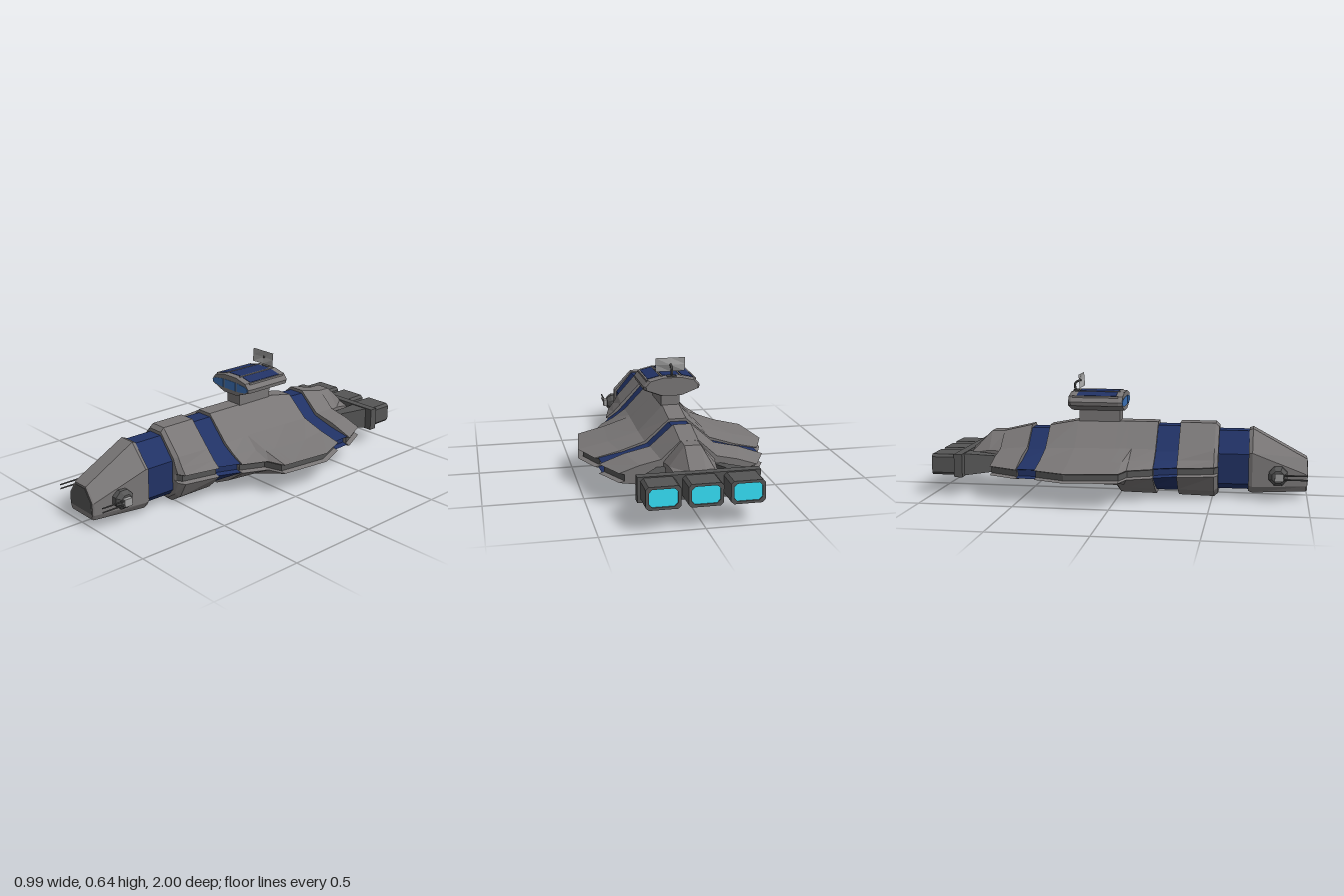
import * as THREE from 'three';

const mat = (color) => new THREE.MeshStandardMaterial({ color, flatShading: true, side: THREE.DoubleSide });
const grey = mat(0x797676), dark = mat(0x555555), pale = mat(0xa0a0a0);
const navy = mat(0x213265), glass = mat(0x3c72b8), glow = mat(0x35e0f8);

// Closed ring of [x, y] points from its +x half, listed top to bottom
const mirror = (half) => [...half, ...half.map(([x, y]) => [-x, y]).reverse()];
const scaled = (ring, s, cy) => ring.map(([x, y]) => [x * s, cy + (y - cy) * s]);

// Skin a list of [z, ring] sections, front to back, with capped ends
function loft(sections) {
  const pos = [];
  const n = sections[0][1].length;
  const at = (i, j) => [...sections[i][1][j % n], sections[i][0]];
  const centre = (i) => {
    const c = [0, 0, sections[i][0]];
    for (const [x, y] of sections[i][1]) { c[0] += x / n; c[1] += y / n; }
    return c;
  };
  const last = sections.length - 1;
  for (let j = 0; j < n; j++) {
    for (let i = 0; i < last; i++) {
      const a = at(i, j), b = at(i, j + 1), c = at(i + 1, j), d = at(i + 1, j + 1);
      pos.push(...a, ...b, ...c, ...b, ...d, ...c);
    }
    pos.push(...centre(0), ...at(0, j + 1), ...at(0, j));
    pos.push(...centre(last), ...at(last, j), ...at(last, j + 1));
  }
  const g = new THREE.BufferGeometry();
  g.setAttribute('position', new THREE.Float32BufferAttribute(pos, 3));
  g.computeVertexNormals();
  return g;
}

function add(parent, name, geometry, material, x = 0, y = 0, z = 0) {
  const m = new THREE.Mesh(geometry, material);
  m.name = name;
  m.position.set(x, y, z);
  parent.add(m);
  return m;
}
const box = (w, h, d) => new THREE.BoxGeometry(w, h, d);
const polygon = (pts) => new THREE.Shape(pts.map(([x, y]) => new THREE.Vector2(x, y)));
const slab = (shape, depth) => new THREE.ExtrudeGeometry(shape, { depth, bevelEnabled: false });

// Winged hull section: ridge, shoulder, wing edge with a groove, keel
const GROOVE = 0.03;
function hull(z, top, sx, sy, w, lx, ly, bw, bot, raise = -0.006) {
  return [z, mirror([
    [0.045, top], [sx, sy], [(sx + w) / 2, (sy + 0.178) / 2 + raise], [w, 0.178],
    [w - GROOVE, 0.17], [w - GROOVE, 0.138], [w, 0.13], [lx, ly], [bw, bot],
  ])];
}

// Grey winged hull with a dark strip lining the groove of its edge
function addWinged(ship, name, sections) {
  add(ship, name, loft(sections), grey);
  const strip = sections.map(([z, ring], i) => {
    const x = ring[3][0] - GROOVE + 0.003;
    const inset = i === 0 ? -0.002 : i === sections.length - 1 ? 0.002 : 0;
    return [z + inset, mirror([[x, 0.17], [x, 0.138]])];
  });
  add(ship, name + 'EdgeStrip', loft(strip), dark);
}

// Plain section of the nose and neck
const plain = (z, top, tw, w, sy, ly, bw, bot) => [z, mirror([[tw, top], [w, sy], [w, ly], [bw, bot]])];

function buildHull(ship) {
  const tip = plain(0.99, 0.212, 0.047, 0.102, 0.135, 0.07, 0.09, 0.042);
  add(ship, 'nose', loft([
    [0.998, scaled(tip[1], 0.94, 0.13)], tip,
    plain(0.71, 0.365, 0.045, 0.152, 0.25, 0.07, 0.13, 0.035),
    plain(0.69, 0.358, 0.043, 0.145, 0.245, 0.075, 0.125, 0.042),
  ]), grey);
  const panel = [[0.04, 0.197], [0.09, 0.132], [0.09, 0.075], [-0.09, 0.075], [-0.09, 0.132], [-0.04, 0.197]];
  add(ship, 'nosePanel', slab(polygon(panel), 0.004), dark, 0, 0, 0.996);
  add(ship, 'neckBand', loft([
    plain(0.7, 0.352, 0.042, 0.135, 0.24, 0.08, 0.11, 0.05),
    plain(0.52, 0.352, 0.042, 0.135, 0.24, 0.08, 0.11, 0.05),
  ]), navy);
  addWinged(ship, 'foreHull', [
    hull(0.53, 0.37, 0.145, 0.255, 0.18, 0.15, 0.06, 0.09, 0.02),
    hull(0.51, 0.39, 0.16, 0.262, 0.217, 0.17, 0.045, 0.1, 0.002),
    hull(0.32, 0.39, 0.17, 0.26, 0.26, 0.18, 0.05, 0.1, 0.006),
  ]);
  add(ship, 'foreBand', loft([
    hull(0.33, 0.372, 0.155, 0.25, 0.24, 0.17, 0.065, 0.1, 0.03),
    hull(0.19, 0.372, 0.16, 0.248, 0.295, 0.18, 0.065, 0.1, 0.03),
  ]), navy);
  addWinged(ship, 'mainHull', [
    hull(0.2, 0.39, 0.17, 0.26, 0.305, 0.19, 0.05, 0.1, 0.008),
    hull(0.07, 0.39, 0.17, 0.26, 0.362, 0.21, 0.06, 0.1, 0.01),
    hull(0.04, 0.39, 0.17, 0.26, 0.458, 0.24, 0.08, 0.1, 0.01),
    hull(0.005, 0.39, 0.172, 0.26, 0.463, 0.25, 0.085, 0.1, 0.012),
    hull(-0.02, 0.39, 0.172, 0.26, 0.466, 0.255, 0.088, 0.1, 0.045),
    hull(-0.24, 0.39, 0.175, 0.257, 0.493, 0.28, 0.1, 0.1, 0.05),
    hull(-0.4, 0.36, 0.17, 0.25, 0.428, 0.26, 0.1, 0.1, 0.066),
  ]);
  add(ship, 'aftBand', loft([
    hull(-0.39, 0.346, 0.16, 0.24, 0.41, 0.25, 0.108, 0.095, 0.08),
    hull(-0.51, 0.342, 0.155, 0.238, 0.405, 0.25, 0.108, 0.095, 0.083),
  ]), navy);
  addWinged(ship, 'aftHull', [
    hull(-0.5, 0.36, 0.165, 0.255, 0.423, 0.26, 0.1, 0.1, 0.07, 0.009),
    hull(-0.66, 0.322, 0.14, 0.235, 0.347, 0.22, 0.11, 0.09, 0.092, 0.006),
  ]);
  add(ship, 'tail', loft([
    plain(-0.65, 0.322, 0.04, 0.13, 0.22, 0.12, 0.1, 0.1),
    plain(-0.73, 0.32, 0.04, 0.115, 0.22, 0.12, 0.09, 0.102),
    plain(-0.84, 0.222, 0.04, 0.1, 0.2, 0.12, 0.08, 0.105),
  ]), grey);
}

function buildBridge(ship) {
  const bridge = new THREE.Group();
  bridge.name = 'bridge';
  ship.add(bridge);
  add(bridge, 'bridgePylon', box(0.098, 0.09, 0.225), grey, 0, 0.415, -0.122);
  const ring = mirror([[0.05, 0.55], [0.125, 0.532], [0.15, 0.502], [0.146, 0.482], [0.053, 0.447]]);
  add(bridge, 'bridgeCabin', loft([
    [0.015, scaled(ring, 0.96, 0.497)], [-0.005, ring], [-0.265, ring], [-0.28, scaled(ring, 0.92, 0.497)],
  ]), grey);
  // Windows and roof panels
  add(bridge, 'middleWindow', slab(polygon([[-0.044, 0.472], [0.044, 0.472], [0.044, 0.521], [-0.044, 0.521]]), 0.003), glass, 0, 0, 0.014);
  add(bridge, 'middleRoofPanel', box(0.09, 0.006, 0.215), navy, 0, 0.549, -0.128);
  for (const s of [-1, 1]) {
    const pane = [[0.055, 0.472], [0.118, 0.479], [0.139, 0.491], [0.139, 0.502], [0.118, 0.513], [0.055, 0.521]];
    add(bridge, 'sideWindow', slab(polygon(pane), 0.003), glass, 0, 0, 0.014).scale.x = s;
    const panel = add(bridge, 'sideRoofPanel', box(0.064, 0.006, 0.215), navy, s * 0.09, 0.5395, -0.128);
    panel.rotation.z = -s * Math.atan(0.018 / 0.075);
    for (const x of [0.051, 0.128]) add(bridge, 'roofRib', box(0.008, 0.01, 0.25), grey, s * x, x < 0.1 ? 0.548 : 0.529, -0.133);
  }
  // Antenna: a shallow dished plate on a bent mast
  const plate = new THREE.PlaneGeometry(0.156, 0.074, 2, 2);
  plate.attributes.position.setZ(4, -0.01);
  plate.computeVertexNormals();
  add(bridge, 'antennaPlate', plate, pale, 0, 0.605, -0.23).rotation.x = -0.08;
  const mast = new THREE.CatmullRomCurve3([[0.54, -0.255], [0.565, -0.268], [0.59, -0.265], [0.605, -0.24]]
    .map(([y, z]) => new THREE.Vector3(0, y, z)));
  add(bridge, 'antennaMast', new THREE.TubeGeometry(mast, 8, 0.007, 6), dark);
  add(bridge, 'antennaFeed', new THREE.SphereGeometry(0.007, 6, 4), dark, 0, 0.605, -0.238);
  add(bridge, 'antennaBase', box(0.05, 0.012, 0.03), dark, 0, 0.548, -0.258);
}

function buildEngines(ship) {
  add(ship, 'engineCrossbar', box(0.595, 0.125, 0.045), dark, 0, 0.165, -0.85);
  const outline = (w, h, c) => [[-w, -h + c], [-w + c, -h], [w - c, -h], [w, -h + c], [w, h - c], [w - c, h], [-w + c, h], [-w, h - c]];
  for (const x of [-0.2, 0, 0.2]) {
    const shape = polygon(outline(0.083, 0.056, 0.014));
    shape.holes.push(new THREE.Path(outline(0.068, 0.043, 0.016).reverse().map(([a, b]) => new THREE.Vector2(a, b))));
    add(ship, 'engineHousing', slab(shape, 0.14), dark, x, 0.166, -1);
    add(ship, 'engineGlow', slab(polygon(outline(0.07, 0.045, 0.016)), 0.02), glow, x, 0.166, -0.993);
  }
  // Splayed struts from the hull to the crossbar
  const rect = (x0, x1, y0, y1) => [[x0, y1], [x1, y1], [x1, y0], [x0, y0]];
  for (const s of [-1, 1]) {
    add(ship, 'engineStrut', loft([
      [-0.64, rect(0.115, 0.15, 0.117, 0.195)], [-0.835, rect(0.155, 0.26, 0.105, 0.225)],
    ]), dark).scale.x = s;
  }
}

function buildTurret(ship, s) {
  const turret = new THREE.Group();
  turret.name = s > 0 ? 'leftTurret' : 'rightTurret';
  turret.position.set(0, 0.13, 0.845);
  turret.scale.x = s;
  ship.add(turret);
  const profile = [[0, 0.1], [0.053, 0.12], [0.053, 0.15], [0.034, 0.174], [0, 0.176]];
  add(turret, 'turretPod', new THREE.LatheGeometry(profile.map(([r, y]) => new THREE.Vector2(r, y)), 8), dark)
    .rotation.set(Math.PI / 8, 0, -Math.PI / 2);
  add(turret, 'gunMount', box(0.022, 0.04, 0.045), pale, 0.184, 0, 0.005);
  for (const y of [-0.01, 0.012]) {
    add(turret, 'gunBarrel', new THREE.CylinderGeometry(0.004, 0.005, 0.14, 6), dark, 0.185, y, 0.083).rotation.x = Math.PI / 2;
  }
}

export function createModel() {
  const ship = new THREE.Group();
  ship.name = 'spaceship';
  buildHull(ship);
  buildBridge(ship);
  buildEngines(ship);
  for (const s of [-1, 1]) buildTurret(ship, s);
  return ship;
}
